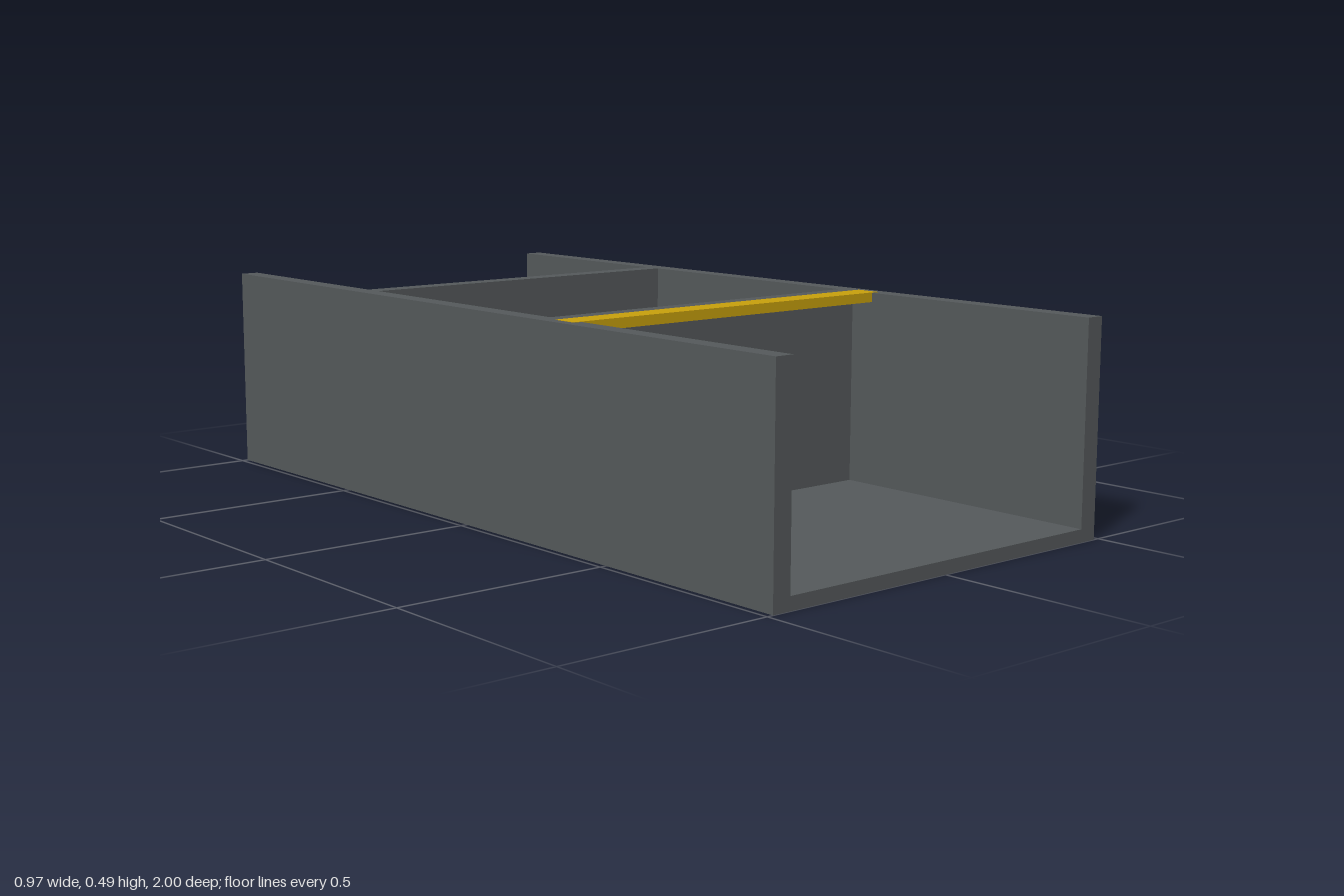
import * as THREE from 'three';

const W = 0.485;      // half width
const H = 0.493;      // height
const WALL = 0.045;   // wall thickness
const FLOOR = 0.03;   // floor thickness
const IN = W - WALL;  // inner half width

export function createModel() {
  const group = new THREE.Group();
  const grey = new THREE.MeshStandardMaterial({ color: 0x55595b });
  grey.name = 'dark grey';
  const yellow = new THREE.MeshStandardMaterial({ color: 0xc8a00c });
  yellow.name = 'yellow';

  const add = (name, geometry, material, x, y, z) => {
    const mesh = new THREE.Mesh(geometry, material);
    mesh.name = name;
    mesh.position.set(x, y, z);
    group.add(mesh);
  };

  // Open-ended channel: floor and two side walls in one U section
  const section = new THREE.Shape([
    [-W, 0], [W, 0], [W, H], [IN, H], [IN, FLOOR], [-IN, FLOOR], [-IN, H], [-W, H],
  ].map(([x, y]) => new THREE.Vector2(x, y)));
  add('channel', new THREE.ExtrudeGeometry(section, { depth: 2, bevelEnabled: false }), grey, 0, 0, -1);

  // Cross partitions between the walls
  const partition = new THREE.BoxGeometry(IN * 2, H - FLOOR, WALL);
  add('rearPartition', partition, grey, 0, (H + FLOOR) / 2, -0.44);
  add('frontPartition', partition, grey, 0, (H + FLOOR) / 2, 0.28);

  // Edge strip let into the wall tops, in front of the front partition
  add('edgeStrip', new THREE.BoxGeometry(0.92, 0.023, 0.063), yellow, 0, H - 0.0105, 0.334);

  return group;
}
